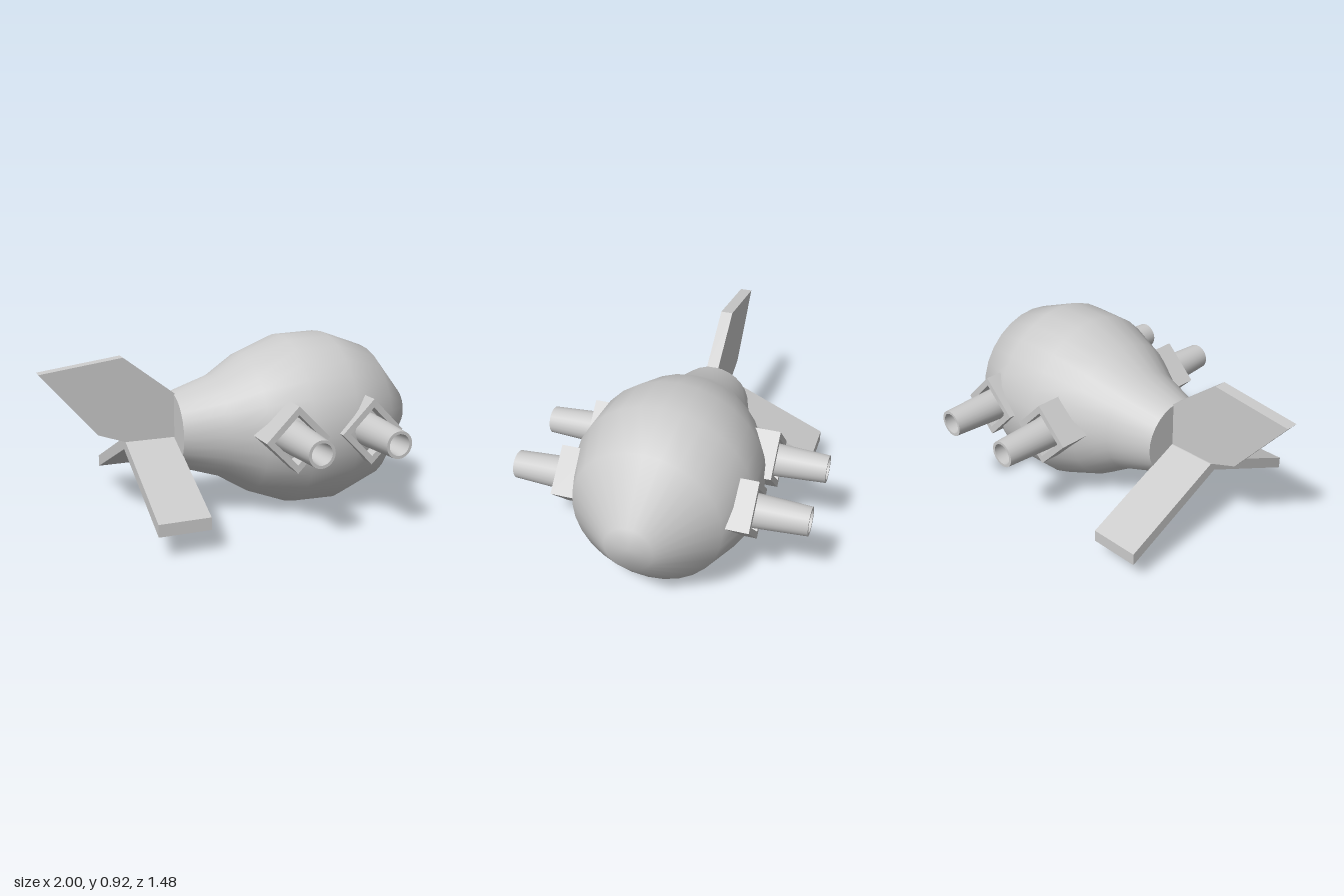
import * as THREE from 'three';
import { toCreasedNormals } from 'three/addons/utils/BufferGeometryUtils.js';

const grey = new THREE.MeshStandardMaterial({ color: 0xcccccc });
const vec = ([x, y]) => new THREE.Vector2(x, y);

function part(name, geometry) {
  const mesh = new THREE.Mesh(geometry, grey);
  mesh.name = name;
  return mesh;
}

function extrude(shape, depth) {
  return new THREE.ExtrudeGeometry(shape, { depth, bevelEnabled: false });
}

// Square standing on its corner
const diamond = (r) => [[r, 0], [0, r], [-r, 0], [0, -r]].map(vec);

// Diamond frame with a hollow tapered barrel, pointing along +z
function createGun() {
  const gun = new THREE.Group();
  const frame = new THREE.Shape(diamond(0.172));
  frame.holes.push(new THREE.Path(diamond(0.128)));
  const frameGeometry = extrude(frame, 0.16);
  frameGeometry.translate(0, 0, 0.33);
  gun.add(part('gunFrame', frameGeometry));

  const profile = [[0.088, 0.33], [0.083, 0.49], [0.07, 0.74], [0.055, 0.74], [0.045, 0.58], [0, 0.57]];
  const barrel = new THREE.LatheGeometry(profile.map(vec), 24);
  barrel.rotateX(Math.PI / 2);
  gun.add(part('gunBarrel', toCreasedNormals(barrel, 0.6)));
  return gun;
}

export function createModel() {
  const model = new THREE.Group();
  model.name = 'finnedPod';

  // Rounded body turned about the x axis
  const bodyProfile = [[0.197, -0.32], [0.272, -0.09], [0.372, 0.07], [0.456, 0.29],
    [0.462, 0.53], [0.372, 0.775], [0.118, 1], [0, 1]];
  const body = new THREE.LatheGeometry(bodyProfile.map(vec), 28);
  body.rotateZ(-Math.PI / 2);
  body.translate(0, 0.467, 0);
  model.add(part('body', body));

  // Flat rear cap
  const cap = new THREE.CircleGeometry(0.197, 28);
  cap.rotateY(-Math.PI / 2);
  cap.translate(-0.32, 0.467, 0);
  model.add(part('rearCap', cap));

  // Upright tail fin
  const finOutline = [[-0.315, 0.435], [-0.315, 0.665], [-0.58, 0.87], [-1, 0.815], [-0.72, 0.485], [-0.58, 0.435]];
  const fin = extrude(new THREE.Shape(finOutline.map(vec)), 0.064);
  fin.translate(0, 0, -0.025);
  model.add(part('tailFin', fin));

  // Drooping tail wings, one continuous chevron section
  const wingOutline = [[0.578, 0.122], [0.578, 0.185], [0.03, 0.435], [-0.03, 0.435],
    [-0.578, 0.185], [-0.578, 0.122], [0, 0.387]];
  const wings = extrude(new THREE.Shape(wingOutline.map(vec)), 0.262);
  wings.rotateY(-Math.PI / 2);
  wings.translate(-0.317, 0, 0);
  model.add(part('tailWings', wings));

  // Two guns on each side
  for (const side of [1, -1]) {
    for (const [x, place] of [[0.17, 'rear'], [0.587, 'front']]) {
      const gun = createGun();
      gun.name = place + (side > 0 ? 'GunNear' : 'GunFar');
      gun.position.set(x + side * 0.004, 0.485, 0);
      if (side < 0) gun.rotation.y = Math.PI;
      model.add(gun);
    }
  }
  return model;
}
